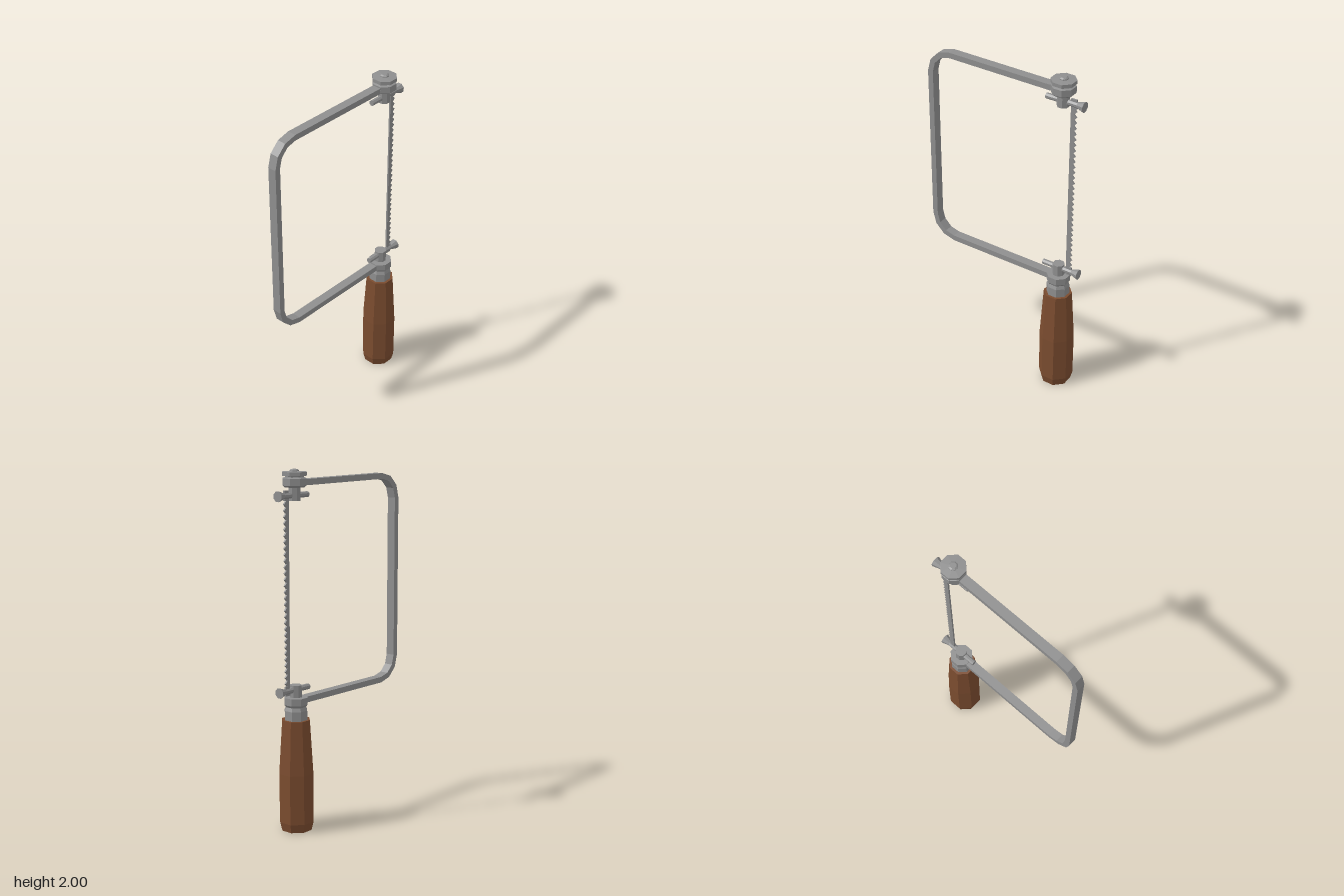
import * as THREE from 'three';

const AXIS = 0.362; // x of the handle and knob axis

export function createModel() {
  const model = new THREE.Group();
  model.name = 'copingSaw';
  const wood = new THREE.MeshStandardMaterial({ color: 0x7b4c2f });
  wood.name = 'brown wood';
  const metal = new THREE.MeshStandardMaterial({ color: 0x8f8f8f });
  metal.name = 'grey metal';
  wood.flatShading = metal.flatShading = true;

  function add(geometry, material, name, x = 0, y = 0) {
    const mesh = new THREE.Mesh(geometry, material);
    mesh.name = name;
    mesh.position.set(x, y, 0);
    model.add(mesh);
    return mesh;
  }

  // Octagonal turning with flats facing the axes; profile is [half width, y]
  function turned(profile) {
    const k = 1 / Math.cos(Math.PI / 8);
    const points = profile.map(([r, y]) => new THREE.Vector2(r * k, y));
    return new THREE.LatheGeometry(points, 8, Math.PI / 8);
  }

  // Handle
  add(turned([[0, 0], [0.081, 0], [0.093, 0.05], [0.093, 0.33], [0.075, 0.632], [0, 0.632]]),
    wood, 'handle', AXIS);

  // Ferrule and collar above the handle
  add(turned([[0, 0.625], [0.061, 0.625], [0.061, 0.685], [0.053, 0.705], [0.063, 0.718],
    [0.063, 0.758], [0, 0.758]]), metal, 'ferrule', AXIS);

  // Collar, cap and nub at the top
  add(turned([[0, 1.904], [0.052, 1.904], [0.063, 1.914], [0.063, 1.952], [0.05, 1.957],
    [0.05, 1.964], [0.065, 1.966], [0.065, 1.986], [0.024, 1.989], [0.024, 1.994],
    [0.016, 2], [0, 2]]), metal, 'tensionKnob', AXIS);

  // Posts with the cross pins that hold the blade
  for (const [label, y0, y1, pinY] of [['lower', 0.75, 0.826, 0.8], ['upper', 1.832, 1.91, 1.861]]) {
    add(turned([[0, y0], [0.032, y0], [0.032, y1], [0, y1]]), metal, label + 'Post', AXIS);
    const pin = add(turned([[0, -0.102], [0.015, -0.102], [0.015, 0.088], [0.028, 0.131], [0, 0.131]]),
      metal, label + 'Pin', AXIS, pinY);
    pin.rotation.z = -Math.PI / 2;
  }

  // Flat bar bent into a U, with bevelled corners in three steps
  const outer = [], inner = [];
  const left = -0.497, bottom = 0.718, top = 1.944, bend = 0.148, thick = 0.033;
  outer.push([0.34, top]);
  inner.push([0.34, top - thick]);
  for (const [cy, start] of [[top - bend, Math.PI / 2], [bottom + bend, Math.PI]]) {
    for (let i = 0; i <= 3; i++) {
      const a = start + (i / 3) * Math.PI / 2;
      outer.push([left + bend + Math.cos(a) * bend, cy + Math.sin(a) * bend]);
      inner.push([left + bend + Math.cos(a) * (bend - thick), cy + Math.sin(a) * (bend - thick)]);
    }
  }
  outer.push([0.34, bottom]);
  inner.push([0.34, bottom + thick]);
  extrude([...outer, ...inner.reverse()], 0.052, 'frame');

  // Blade with square end tabs and a row of teeth along its front edge
  const blade = [[0.412, 0.775], [0.446, 0.775], [0.446, 0.828], [0.432, 0.828]];
  const teeth = 30, y0 = 0.828, y1 = 1.835, pitch = (y1 - y0) / teeth;
  for (let i = 0; i < teeth; i++) {
    blade.push([0.447, y0 + (i + 0.5) * pitch], [0.432, y0 + (i + 1) * pitch]);
  }
  blade.push([0.446, y1], [0.446, 1.89], [0.412, 1.89]);
  extrude(blade, 0.01, 'blade');

  function extrude(points, depth, name) {
    const shape = new THREE.Shape(points.map(([x, y]) => new THREE.Vector2(x, y)));
    const geometry = new THREE.ExtrudeGeometry(shape, { depth, bevelEnabled: false });
    geometry.translate(0, 0, -depth / 2);
    return add(geometry, metal, name);
  }

  return model;
}
